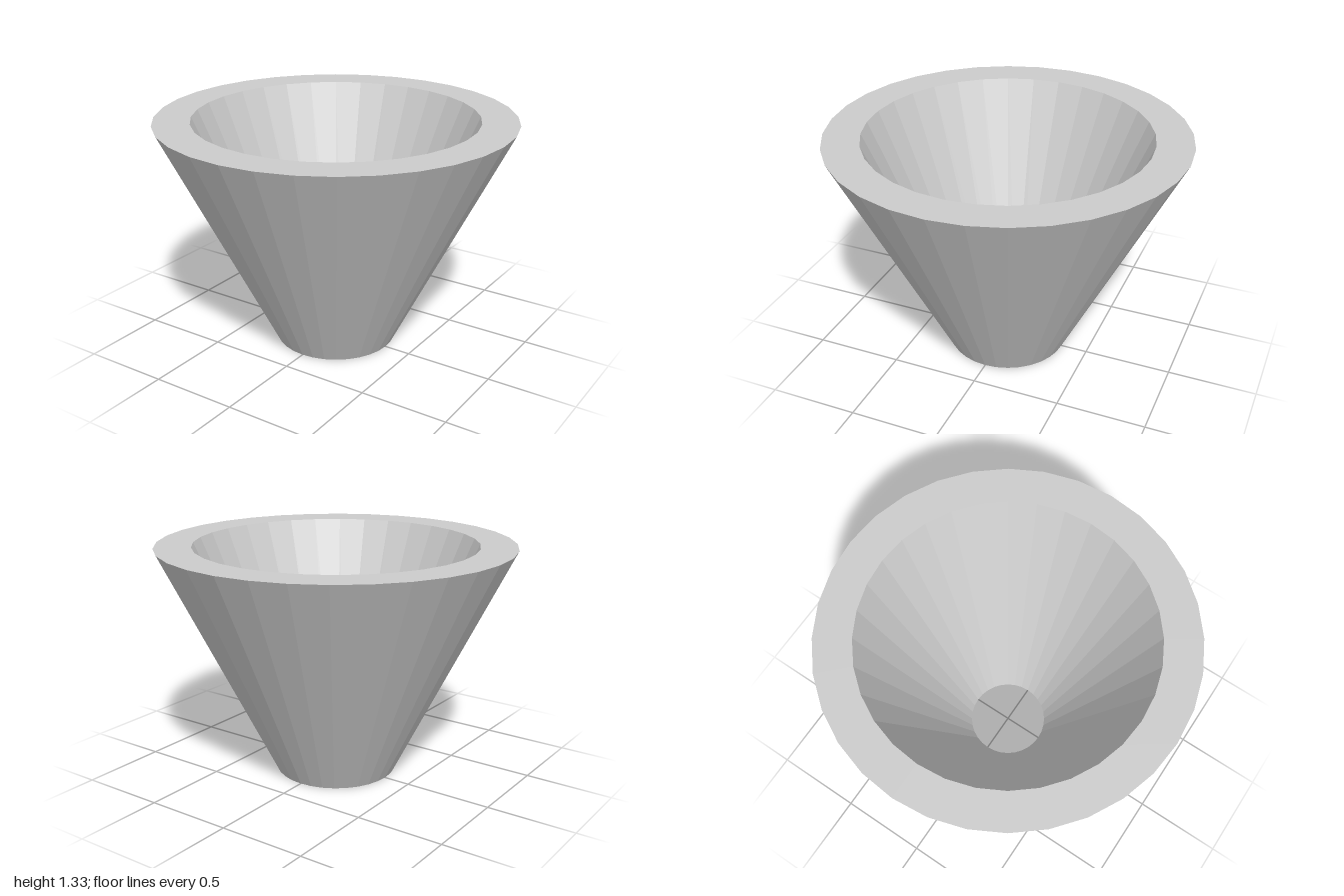
import * as THREE from 'three';

const SIDES = 32;
const HEIGHT = 1.325;

export function createModel() {
  const group = new THREE.Group();
  group.name = 'hollowCone';

  // Closed wall section: outer slope, top rim, inner slope, bottom ring
  const section = [
    [0.345, 0],
    [1, HEIGHT],
    [0.795, HEIGHT],
    [0.23, 0],
    [0.345, 0],
  ].map(([r, y]) => new THREE.Vector2(r, y));

  const wall = new THREE.Mesh(
    new THREE.LatheGeometry(section, SIDES),
    new THREE.MeshStandardMaterial({ color: 0xcccccc, flatShading: true })
  );
  wall.name = 'funnelWall';
  group.add(wall);

  return group;
}
